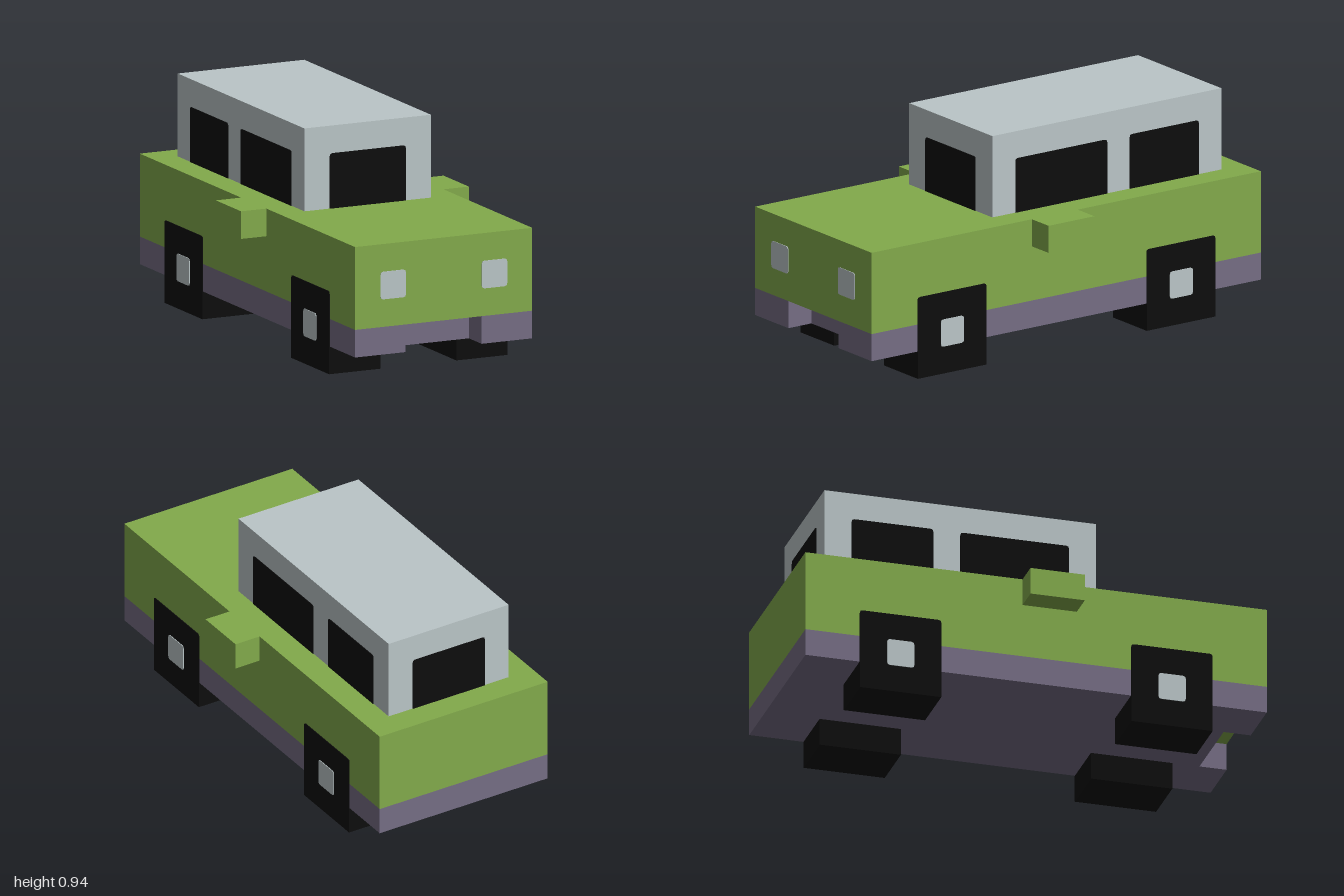
import * as THREE from 'three';

const U = 1 / 17; // block unit: the car is 34 units long

function mat(name, color) {
  const m = new THREE.MeshStandardMaterial({ color });
  m.name = name;
  return m;
}

export function createModel() {
  const green = mat('green paint', 0x82aa4b);
  const grey = mat('pale grey', 0xbac5c7);
  const purple = mat('purple trim', 0x756d84);
  const black = mat('black', 0x0d0d0d);
  const car = new THREE.Group();
  car.name = 'car';

  // Box from min and max corners, in block units
  function box(name, material, [x0, y0, z0], [x1, y1, z1]) {
    const g = new THREE.BoxGeometry((x1 - x0) * U, (y1 - y0) * U, (z1 - z0) * U);
    g.translate((x0 + x1) * U / 2, (y0 + y1) * U / 2, (z0 + z1) * U / 2);
    const mesh = new THREE.Mesh(g, material);
    mesh.name = name;
    car.add(mesh);
  }

  // Thin plate with softened corners, centred on (x, y, z) and turned about y
  function plate(name, material, w, h, [x, y, z], turn, squareBottom = false) {
    const a = w * U / 2, b = h * U / 2, r = 0.012, rb = squareBottom ? 0 : r;
    const s = new THREE.Shape();
    s.moveTo(-a + rb, -b).lineTo(a - rb, -b);
    s.quadraticCurveTo(a, -b, a, -b + rb).lineTo(a, b - r);
    s.quadraticCurveTo(a, b, a - r, b).lineTo(-a + r, b);
    s.quadraticCurveTo(-a, b, -a, b - r).lineTo(-a, -b + rb);
    s.quadraticCurveTo(-a, -b, -a + rb, -b);
    const g = new THREE.ExtrudeGeometry(s, { depth: 0.003, bevelEnabled: false, curveSegments: 2 });
    const mesh = new THREE.Mesh(g, material);
    mesh.name = name;
    mesh.position.set(x * U, y * U, z * U);
    mesh.rotation.y = turn;
    car.add(mesh);
  }

  // Body, cab and sill with a recess at the front
  box('body', green, [-7, 4, -17], [7, 10, 17]);
  box('cab', grey, [-5, 10, -15], [5, 16, 5]);
  box('sill', purple, [-7, 2, -17], [7, 4, 15]);

  // Front and rear windows
  plate('windscreen', black, 6, 4, [0, 12, 5], 0, true);
  plate('rearWindow', black, 6, 4, [0, 12, -15], Math.PI, true);

  for (const s of [1, -1]) {
    const side = s > 0 ? 'left' : 'right';
    const turn = s * Math.PI / 2;
    const span = (a, b) => (s > 0 ? [a, b] : [-b, -a]);

    // Bumper blocks, mirrors and headlights
    const [b0, b1] = span(3, 7);
    box(side + 'Bumper', purple, [b0, 2, 15], [b1, 4, 17]);
    const [m0, m1] = span(7, 9);
    box(side + 'Mirror', green, [m0, 8, -1], [m1, 10, 3]);
    plate(side + 'Headlight', grey, 2, 2, [s * 4, 7, 17], 0);

    // Side windows
    plate(side + 'FrontWindow', black, 8, 4, [s * 5, 12, -1], turn, true);
    plate(side + 'BackWindow', black, 6, 4, [s * 5, 12, -10], turn, true);

    // Square wheels with an outer face and a hub
    for (const [end, z] of [['Front', 10], ['Back', -10]]) {
      box(side + end + 'Wheel', black, [b0, 0, z - 3], [b1, 4, z + 3]);
      plate(side + end + 'WheelFace', black, 6, 6, [s * 7, 3, z], turn, true);
      plate(side + end + 'Hub', grey, 2, 2, [s * 7.05, 3, z], turn);
    }
  }
  return car;
}
